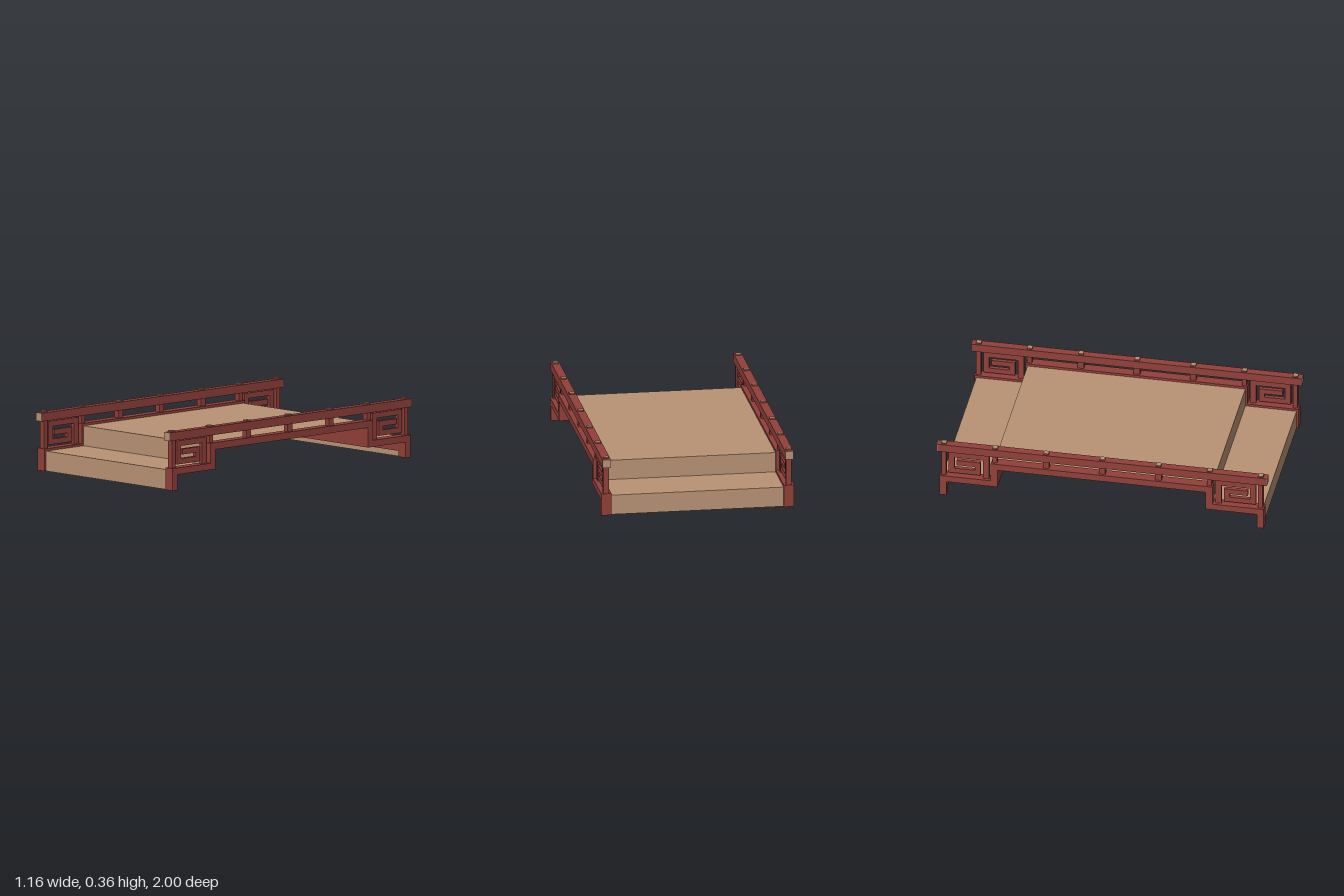
import * as THREE from 'three';

const red = new THREE.MeshStandardMaterial({ color: 0x91403a });
red.name = 'red lacquer';
const tan = new THREE.MeshStandardMaterial({ color: 0xb99375 });
tan.name = 'tan wood';

// Box given by its limits on each axis
function box(parent, name, mat, [x0, x1], [y0, y1], [z0, z1]) {
  const m = new THREE.Mesh(new THREE.BoxGeometry(x1 - x0, y1 - y0, z1 - z0), mat);
  m.position.set((x0 + x1) / 2, (y0 + y1) / 2, (z0 + z1) / 2);
  m.name = name;
  parent.add(m);
}

// Extrudes a (z, y) outline sideways, centred on x
function sideExtrude(parent, name, points, x, width) {
  const shape = new THREE.Shape(points.map(([z, y]) => new THREE.Vector2(z, y)));
  const g = new THREE.ExtrudeGeometry(shape, { depth: width, bevelEnabled: false });
  g.translate(0, 0, -width / 2);
  g.rotateY(-Math.PI / 2);
  const m = new THREE.Mesh(g, red);
  m.position.x = x;
  m.name = name;
  parent.add(m);
}

// Stepped side beam: feet, low ends and raised middle
const lower = [[0.63, 0.213], [0.63, 0.094], [0.941, 0.094], [0.941, 0], [0.982, 0], [0.982, 0.134], [0.672, 0.134], [0.672, 0.255]];
const flip = (pts) => pts.map(([z, y]) => [-z, y]).reverse();
const stringer = [...lower, ...flip(lower)];

// Square spiral fretwork in one continuous strip
const fret = [
  [0.685, 0.13], [0.685, 0.293], [0.93, 0.293], [0.93, 0.151], [0.738, 0.151], [0.738, 0.24], [0.882, 0.24],
  [0.882, 0.207], [0.771, 0.207], [0.771, 0.184], [0.896, 0.184], [0.896, 0.26], [0.721, 0.26], [0.721, 0.13],
];

function railing(side) {
  const g = new THREE.Group();
  g.name = side > 0 ? 'leftRailing' : 'rightRailing';
  const x = 0.55 * side;
  const around = (w) => [x - w / 2, x + w / 2];
  sideExtrude(g, 'steppedBeam', stringer, x, 0.062);
  sideExtrude(g, 'frontFretwork', fret, x, 0.024);
  sideExtrude(g, 'backFretwork', flip(fret), x, 0.024);
  // Handrail with tan end grain
  box(g, 'handrail', red, around(0.05), [0.3, 0.35], [-0.996, 0.996]);
  for (const s of [-1, 1]) {
    const ends = [0.996 * s, s].sort((a, b) => a - b);
    box(g, 'handrailEnd', tan, around(0.05), [0.3, 0.35], ends);
  }
  // Posts passing through the handrail
  for (const z of [-0.959, -0.65, -0.34, 0, 0.34, 0.65, 0.959]) {
    const end = Math.abs(z) > 0.5;
    const h = end ? 0.014 : 0.019;
    box(g, 'post', red, around(0.034), [end ? 0.13 : 0.25, 0.302], [z - h, z + h]);
    box(g, 'postTenon', red, around(0.032), [0.348, 0.357], [z - 0.015, z + 0.015]);
    box(g, 'tenonTop', tan, around(0.032), [0.357, 0.359], [z - 0.015, z + 0.015]);
  }
  return g;
}

export function createModel() {
  const model = new THREE.Group();
  model.name = 'footbridge';
  model.add(railing(1), railing(-1));
  const X = [-0.52, 0.52];
  // Raised middle deck
  box(model, 'upperDeck', tan, X, [0.226, 0.24], [-0.66, 0.66]);
  // Lower step at each end
  for (const s of [-1, 1]) {
    const span = (a, b) => [a * s, b * s].sort((p, q) => p - q);
    box(model, 'riser', tan, X, [0.118, 0.226], span(0.646, 0.66));
    box(model, 'riserBacking', red, X, [0.094, 0.226], span(0.631, 0.646));
    box(model, 'lowerDeck', tan, X, [0.108, 0.12], span(0.646, 0.97));
    box(model, 'lowerDeckBase', red, X, [0.094, 0.108], span(0.646, 0.956));
    box(model, 'endPanel', tan, X, [0, 0.108], span(0.956, 0.97));
    box(model, 'endPanelBacking', red, X, [0.035, 0.094], span(0.942, 0.956));
  }
  return model;
}
